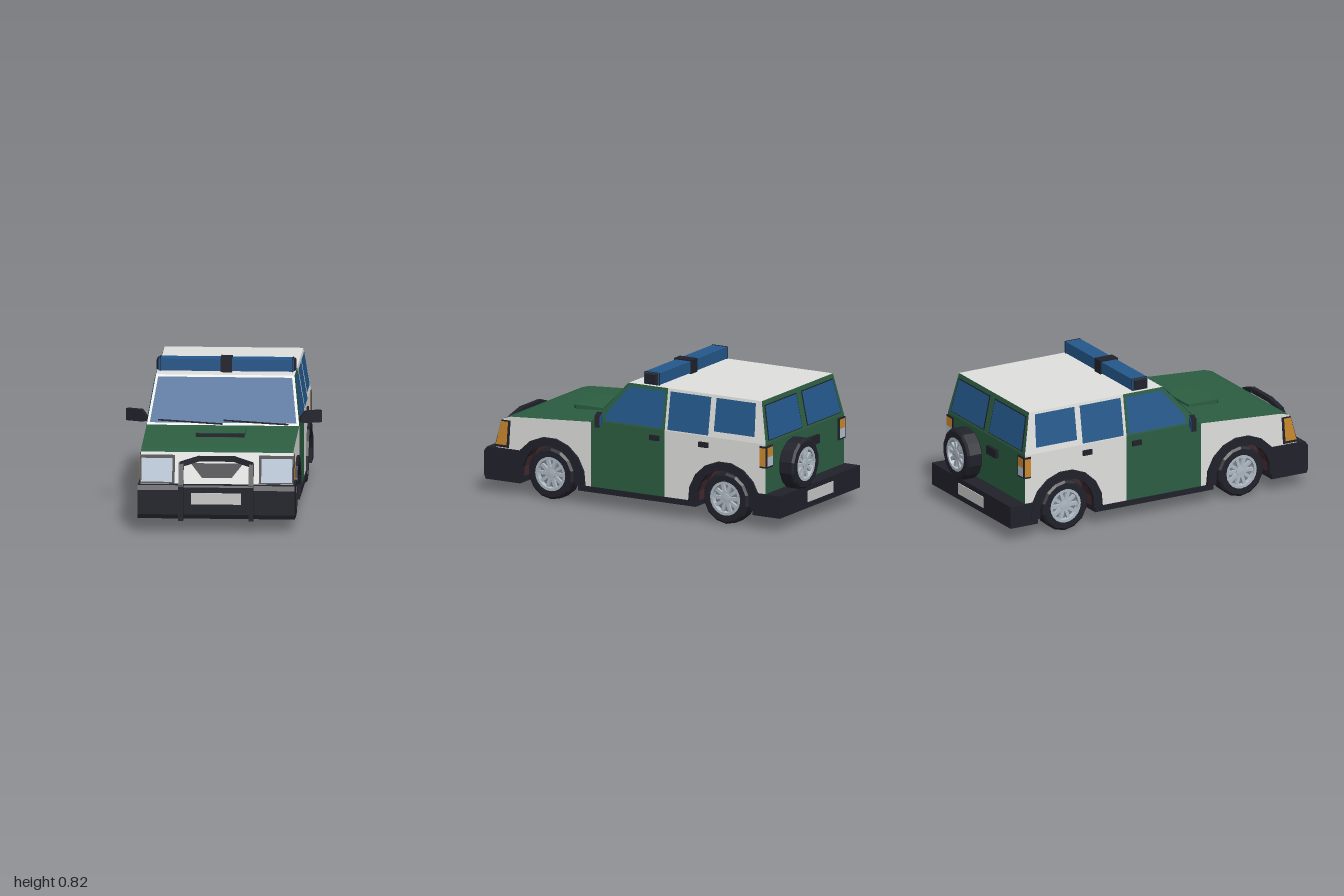
import * as THREE from 'three';

const paint = (name, color) =>
  new THREE.MeshStandardMaterial({ name, color, flatShading: true, side: THREE.DoubleSide });
const M = {
  white: paint('white paint', 0xe0e0de), green: paint('green paint', 0x2c5e42),
  blue: paint('blue glass', 0x24588c), black: paint('black trim', 0x21212b),
  maroon: paint('wheel well', 0x42292e), rim: paint('rim metal', 0xb0bac4),
  shade: paint('rim recess', 0x78828c), orange: paint('orange lamp', 0xcc8a2c),
  plate: paint('plate', 0xcacaca), lamp: paint('lamp glass', 0xb4c1d3),
};

// Body surfaces: half width, nose, windscreen, hood and tail as rules
const sideX = y => 0.435 - 0.04 * Math.max(0, (y - 0.5) / 0.24);
const noseZ = y => 0.9 - 0.05 * (y - 0.265) / 0.175;
const screenZ = y => 0.27 - 0.23 * (y - 0.49) / 0.25;
const tailZ = y => -0.89 + 0.05 * Math.max(0, (y - 0.5) / 0.24);
const hoodY = z => (z > 0.8 ? 0.455 - 0.3 * (z - 0.8) : 0.49 - 0.035 * (z - 0.27) / 0.53);

// Placements of a flat outline onto those surfaces, lifted by d
const onSide = (s, d = 0) => (u, v) => [s * (sideX(v) + d), v, -s * u];
const onNose = (d = 0) => (u, v) => [u, v, noseZ(v) + d];
const onScreen = (d = 0) => (u, v) => [u, v + d * 0.7, screenZ(v) + d];
const onTail = (d = 0) => (u, v) => [-u, v, tailZ(v) - d];

export function createModel() {
  const car = new THREE.Group();
  car.name = 'patrolCar';

  const add = (name, geo, mat, parent = car) => {
    const m = new THREE.Mesh(geo, mat);
    m.name = name;
    parent.add(m);
    return m;
  };
  const outline = pts => new THREE.Shape(pts.map(p => new THREE.Vector2(p[0], p[1])));
  const panel = (name, mat, pts, place) => {
    const geo = new THREE.ShapeGeometry(outline(pts));
    const p = geo.attributes.position;
    for (let i = 0; i < p.count; i++) p.setXYZ(i, ...place(p.getX(i), p.getY(i)));
    geo.computeVertexNormals();
    return add(name, geo, mat);
  };
  const sidePanel = (name, mat, pts, s, d) =>
    panel(name, mat, pts.map(([z, y]) => [-s * z, y]), onSide(s, d));
  const rect = (a, b, c, d) => [[a, c], [b, c], [b, d], [a, d]];
  const box = (name, mat, x0, x1, y0, y1, z0, z1) => {
    const m = add(name, new THREE.BoxGeometry(x1 - x0, y1 - y0, z1 - z0), mat);
    m.position.set((x0 + x1) / 2, (y0 + y1) / 2, (z0 + z1) / 2);
    return m;
  };
  // Profile in (z, y) extruded across the full width
  const across = (name, mat, pts, w) => {
    const geo = new THREE.ExtrudeGeometry(outline(pts.map(([z, y]) => [-z, y])), { depth: 2 * w, bevelEnabled: false });
    geo.rotateY(Math.PI / 2).translate(-w, 0, 0);
    return add(name, geo, mat);
  };
  const bar = (name, a, b, t) => {
    const A = new THREE.Vector3(...a), B = new THREE.Vector3(...b);
    const m = add(name, new THREE.BoxGeometry(t, t, A.distanceTo(B) + t * 0.5), M.black);
    m.position.copy(A).add(B).multiplyScalar(0.5);
    m.lookAt(B);
    return m;
  };
  const arc = (cz, cy, r, low, n = 10) => Array.from({ length: n + 1 }, (_, i) => {
    const a = Math.PI + low - (Math.PI + 2 * low) * i / n;
    return [cz + r * Math.cos(a), cy + r * Math.sin(a)];
  });

  // Wheel with its outer face toward +z
  const wheel = name => {
    const g = new THREE.Group();
    g.name = name;
    const lathe = (part, pts, mat, n) => add(part, new THREE.LatheGeometry(
      pts.map(p => new THREE.Vector2(...p)), n).rotateX(Math.PI / 2), mat, g);
    lathe('tyre', [[0, -0.05], [0.135, -0.05], [0.15, -0.038], [0.15, 0.038], [0.137, 0.05], [0.098, 0.05], [0.092, 0.02]], M.black, 14);
    lathe('rimRing', [[0.1, 0.051], [0.084, 0.051], [0.08, 0.025]], M.rim, 20);
    lathe('rimDish', [[0.094, 0.022], [0, 0.028]], M.shade, 20);
    lathe('hub', [[0.03, 0.02], [0.028, 0.046], [0, 0.048]], M.rim, 10);
    for (let i = 0; i < 10; i++) {
      const a = i * Math.PI / 5;
      const spoke = add('spoke', new THREE.BoxGeometry(0.068, 0.02, 0.016), M.rim, g);
      spoke.position.set(0.054 * Math.cos(a), 0.054 * Math.sin(a), 0.034);
      spoke.rotation.z = a;
    }
    car.add(g);
    return g;
  };

  // Roof, hood, windscreen, nose and tail
  const top = d => (u, v) => [u, hoodY(-v) + d, -v];
  panel('roof', M.white, rect(-0.395, 0.395, -0.04, 0.84), (u, v) => [u, 0.74, -v]);
  panel('hood', M.green, rect(-0.435, 0.435, -0.8, -0.27), top(0));
  panel('hoodLip', M.green, rect(-0.435, 0.435, -0.85, -0.8), top(0));
  const trap = (w0, y0, w1, y1) => [[-w0, y0], [w0, y0], [w1, y1], [-w1, y1]];
  panel('screenFrame', M.white, trap(0.435, 0.49, 0.395, 0.74), onScreen());
  panel('windscreen', M.blue, trap(0.418, 0.5, 0.382, 0.727), onScreen(0.004));
  panel('nose', M.white, rect(-0.435, 0.435, 0.11, 0.44), onNose());
  panel('grille', M.black, trap(0.085, 0.3, 0.15, 0.38), onNose(0.006));
  panel('tailLower', M.green, rect(-0.435, 0.435, 0.11, 0.5), onTail());
  panel('tailUpper', M.green, trap(0.435, 0.5, 0.395, 0.74), onTail());
  across('hoodScoop', M.green, [[0.36, 0.475], [0.545, 0.465], [0.55, 0.497], [0.36, 0.497]], 0.14);
  box('scoopIntake', M.black, -0.138, 0.138, 0.474, 0.494, 0.545, 0.554);
  for (const x of [-0.37, 0.005]) {
    bar('wiper', [x, 0.516, screenZ(0.516) + 0.01], [x + 0.365, 0.498, screenZ(0.498) + 0.01], 0.008);
  }

  // Floor
  box('floor', M.black, -0.31, 0.31, 0.08, 0.11, -0.95, 0.93);

  for (const s of [1, -1]) {
    // Side panels and glass
    sidePanel('frontFender', M.white, [[0.27, 0.11], ...arc(0.54, 0.15, 0.185, 0.217), [0.9, 0.11],
      [0.9, 0.265], [0.85, 0.44], [0.8, 0.455], [0.27, 0.49]], s);
    sidePanel('frontDoor', M.green, [[0.27, 0.11], [0.27, 0.49], [0.261, 0.5], [-0.22, 0.5], [-0.22, 0.11]], s);
    sidePanel('doorFrame', M.green, [[0.261, 0.5], [0.04, 0.74], [-0.22, 0.74], [-0.22, 0.5]], s);
    sidePanel('rearQuarter', M.white, [[-0.89, 0.11], ...arc(-0.62, 0.15, 0.185, 0.217),
      [-0.22, 0.11], [-0.22, 0.5], [-0.89, 0.5]], s);
    sidePanel('rearPillars', M.white, [[-0.22, 0.5], [-0.22, 0.74], [-0.84, 0.74], [-0.89, 0.5]], s);
    sidePanel('frontWindow', M.blue, [[0.175, 0.51], [0.165, 0.56], [0.03, 0.722], [-0.205, 0.722], [-0.205, 0.51]], s, 0.004);
    sidePanel('middleWindow', M.blue, rect(-0.51, -0.24, 0.507, 0.725), s, 0.004);
    sidePanel('rearWindow', M.blue, [[-0.545, 0.535], [-0.545, 0.725], [-0.805, 0.725], [-0.815, 0.535]], s, 0.004);
    const ends = (a, b) => (s > 0 ? [a, b] : [-b, -a]);
    for (const z of [-0.155, -0.48]) box('doorHandle', M.black, ...ends(0.42, 0.447), 0.435, 0.465, z - 0.03, z + 0.03);
    box('sill', M.black, ...ends(0.3, 0.442), 0.08, 0.112, -0.43, 0.35);

    // Lamps
    panel('headlampFrame', M.black, rect(...ends(0.24, 0.438), 0.268, 0.425), onNose(0.006));
    panel('headlamp', M.lamp, rect(...ends(0.254, 0.43), 0.277, 0.408), onNose(0.012));
    sidePanel('indicatorFrame', M.black, [[0.905, 0.27], [0.86, 0.432], [0.8, 0.432], [0.81, 0.27]], s, 0.003);
    sidePanel('indicator', M.orange, [[0.897, 0.285], [0.86, 0.424], [0.815, 0.424], [0.825, 0.285]], s, 0.006);
    box('tailLampFrame', M.black, ...ends(0.365, 0.438), 0.36, 0.488, -0.897, -0.85);
    const tailEnds = s > 0 ? [-0.432, -0.372] : [0.372, 0.432];
    panel('tailLampTop', M.orange, rect(...tailEnds, 0.425, 0.48), onTail(0.01));
    panel('tailLampBottom', M.lamp, rect(...tailEnds, 0.37, 0.425), onTail(0.01));
    sidePanel('tailLampSide', M.orange, rect(-0.892, -0.853, 0.37, 0.478), s, 0.006);
    const glass = [[0.025, 0.515], [0.405, 0.515], [0.38, 0.715], [0.025, 0.715]];
    panel('tailWindowFrame', M.black, glass.map(([x, y]) => [s * x, y]), onTail(0.003));
    panel('tailWindow', M.blue, glass.map(([x, y]) =>
      [s * (0.21 + (x - 0.21) * 0.96), 0.615 + (y - 0.615) * 0.95]), onTail(0.006));

    // Wheels, wells and arch flares
    for (const z of [0.54, -0.62]) {
      const w = wheel('wheel');
      w.position.set(s * 0.382, 0.15, z);
      w.rotation.y = s * Math.PI / 2;
      const well = add('wheelWell', new THREE.CylinderGeometry(0.188, 0.188, 0.135, 12, 1, true, -0.2, Math.PI + 0.4), M.maroon);
      well.rotation.z = Math.PI / 2;
      well.position.set(s * 0.3675, 0.15, z);
      const wall = add('wellWall', new THREE.CircleGeometry(0.188, 12, -0.2, Math.PI + 0.4), M.maroon);
      wall.rotation.y = s * Math.PI / 2;
      wall.position.set(s * 0.312, 0.15, z);
      const flare = add('archFlare', new THREE.ExtrudeGeometry(outline(
        [...arc(0, 0.13, 0.237, 0.09, 9), ...arc(0, 0.14, 0.178, 0.17).reverse()]),
        { depth: 0.027, bevelEnabled: false }), M.black);
      flare.rotation.y = s * Math.PI / 2;
      flare.position.set(s * 0.423, 0, z);
    }

    // Door mirror
    const mirror = new THREE.Group();
    mirror.name = 'doorMirror';
    add('mirrorShell', new THREE.ExtrudeGeometry(outline([[0, 0.502], [0.025, 0.496], [0.13, 0.496],
      [0.13, 0.565], [0.035, 0.565], [0, 0.525]]), { depth: 0.028, bevelEnabled: false }), M.black, mirror);
    add('mirrorGlass', new THREE.BoxGeometry(0.085, 0.055, 0.004), M.blue, mirror).position.set(0.082, 0.53, -0.002);
    mirror.position.set(s * 0.428, 0, 0.195);
    mirror.rotation.y = s * 0.4;
    mirror.scale.x = s;
    car.add(mirror);
  }

  // Bumpers and plates
  across('frontBumper', M.black, [[0.73, 0.075], [0.96, 0.075], [0.97, 0.1], [0.97, 0.24], [0.95, 0.265], [0.73, 0.265]], 0.448);
  across('rearBumper', M.black, [[-0.81, 0.08], [-0.99, 0.08], [-0.99, 0.21], [-0.81, 0.21]], 0.445);
  box('plateHolder', M.black, -0.19, 0.19, 0.12, 0.255, 0.96, 0.98);
  box('frontPlate', M.plate, -0.143, 0.143, 0.162, 0.227, 0.979, 0.985);
  box('rearPlate', M.plate, -0.14, 0.14, 0.115, 0.18, -0.995, -0.989);

  // Bull bar
  const path = [[-0.2, 0.075, 0.985], [-0.2, 0.265, 0.985], [-0.2, 0.385, 0.935], [-0.1, 0.416, 0.925],
    [0.1, 0.416, 0.925], [0.2, 0.385, 0.935], [0.2, 0.265, 0.985], [0.2, 0.075, 0.985]];
  for (let i = 1; i < path.length; i++) bar('bullBar', path[i - 1], path[i], 0.028);

  // Spare wheel and tailgate handle
  const spare = wheel('spareWheel');
  spare.position.set(0.165, 0.345, -0.948);
  spare.rotation.y = Math.PI;
  box('tailgateHandle', M.black, -0.135, -0.03, 0.395, 0.445, -0.91, -0.88);

  // Roof light bar
  box('lightBar', M.blue, -0.385, 0.385, 0.745, 0.813, -0.15, -0.052);
  box('lightBarCentre', M.black, -0.033, 0.033, 0.74, 0.82, -0.158, -0.042);
  for (const s of [1, -1]) {
    const cap = add('lightBarCap', new THREE.CylinderGeometry(0.04, 0.056, 0.022, 4, 1).rotateY(Math.PI / 4), M.black);
    cap.rotation.z = -s * Math.PI / 2;
    cap.scale.set(0.95, 1, 1.3);
    cap.position.set(s * 0.386, 0.779, -0.101);
  }
  return car;
}
